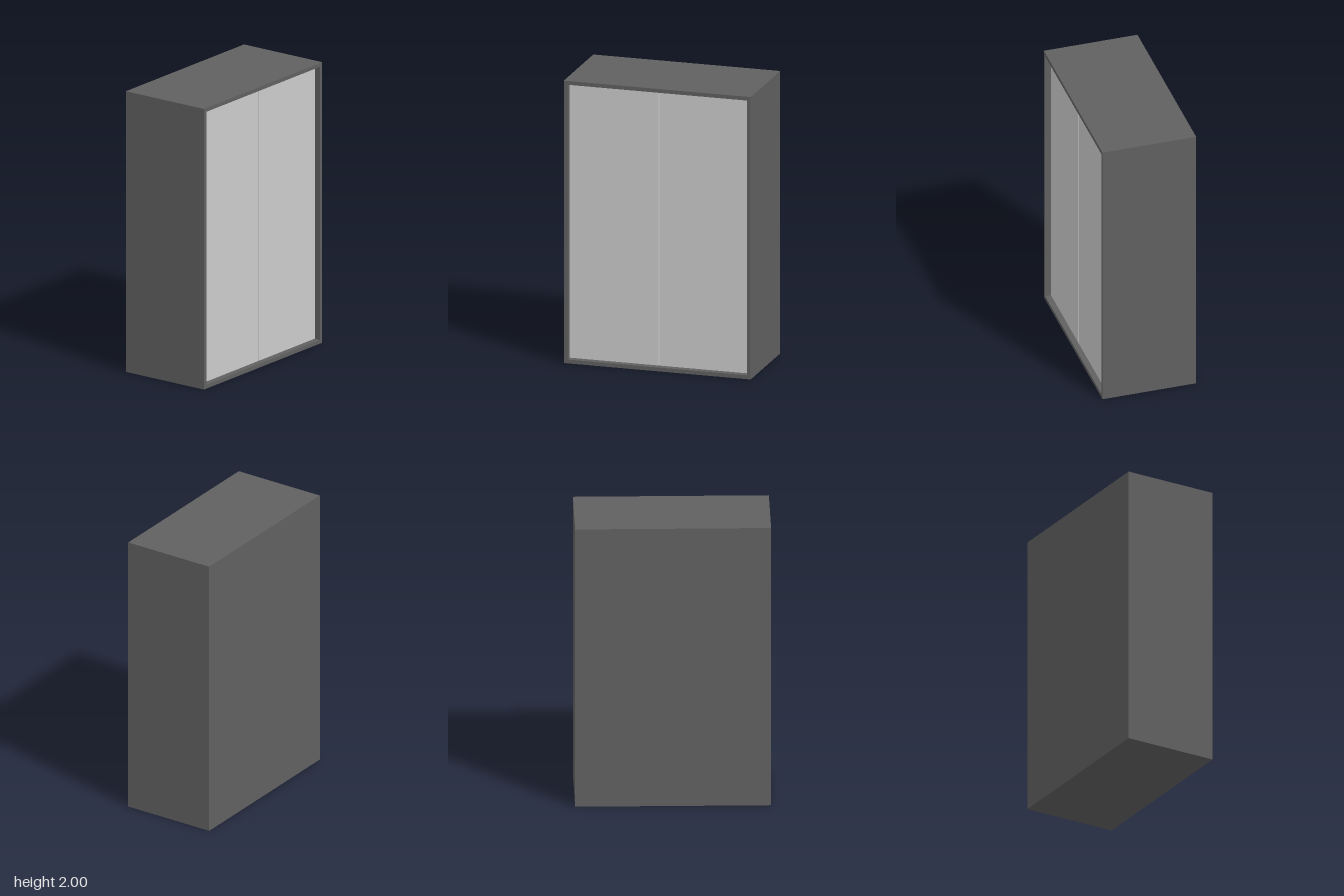
import * as THREE from 'three';

const W = 1.333, H = 2, D = 0.667, T = 0.027; // overall size and board thickness

export function createModel() {
  const wardrobe = new THREE.Group();
  wardrobe.name = 'wardrobe';
  const darkMat = new THREE.MeshStandardMaterial({ color: 0x606060 });
  const lightMat = new THREE.MeshStandardMaterial({ color: 0xcccccc });

  const add = (name, geometry, material, x, y, z) => {
    const mesh = new THREE.Mesh(geometry, material);
    mesh.name = name;
    mesh.position.set(x, y, z);
    wardrobe.add(mesh);
    return mesh;
  };
  const board = (name, w, h, d, x, y, z, material = darkMat) =>
    add(name, new THREE.BoxGeometry(w, h, d), material, x, y, z);

  // Carcass: one hollow frame extruded over the full depth
  const outline = new THREE.Shape([
    new THREE.Vector2(-W / 2, 0), new THREE.Vector2(W / 2, 0),
    new THREE.Vector2(W / 2, H), new THREE.Vector2(-W / 2, H),
  ]);
  const inX = W / 2 - T;
  outline.holes.push(new THREE.Path([
    new THREE.Vector2(-inX, T), new THREE.Vector2(-inX, H - T),
    new THREE.Vector2(inX, H - T), new THREE.Vector2(inX, T),
  ]));
  add('carcass', new THREE.ExtrudeGeometry(outline, { depth: D, bevelEnabled: false }), darkMat, 0, 0, -D / 2);

  // Back panel closing the frame
  board('backPanel', 2 * inX, H - 2 * T, T, 0, H / 2, -D / 2 + T / 2);

  // Centre divider and interior fittings, set behind the doors
  const backZ = -D / 2 + T, frontZ = 0.25;
  const depth = frontZ - backZ, midZ = (frontZ + backZ) / 2;
  board('divider', T, H - 2 * T, depth, 0, H / 2, midZ);
  const bay = inX - T / 2, bayX = (inX + T / 2) / 2;
  for (const y of [0.54, 1.0, 1.46]) board('shelf', bay, T, depth, -bayX, y, midZ, lightMat);
  const rail = new THREE.CylinderGeometry(0.02, 0.02, bay, 20);
  add('hangingRail', rail, lightMat, bayX, 1.8, midZ).rotation.z = Math.PI / 2;

  // Two recessed doors with a narrow gap between and around them
  const gap = 0.0035, reveal = 0.0025, recess = 0.04;
  const doorW = inX - gap - reveal, doorH = H - 2 * (T + reveal);
  for (const side of [-1, 1]) {
    board(side < 0 ? 'rightDoor' : 'leftDoor', doorW, doorH, T,
      side * (gap + doorW / 2), H / 2, D / 2 - recess - T / 2, lightMat);
  }
  return wardrobe;
}
